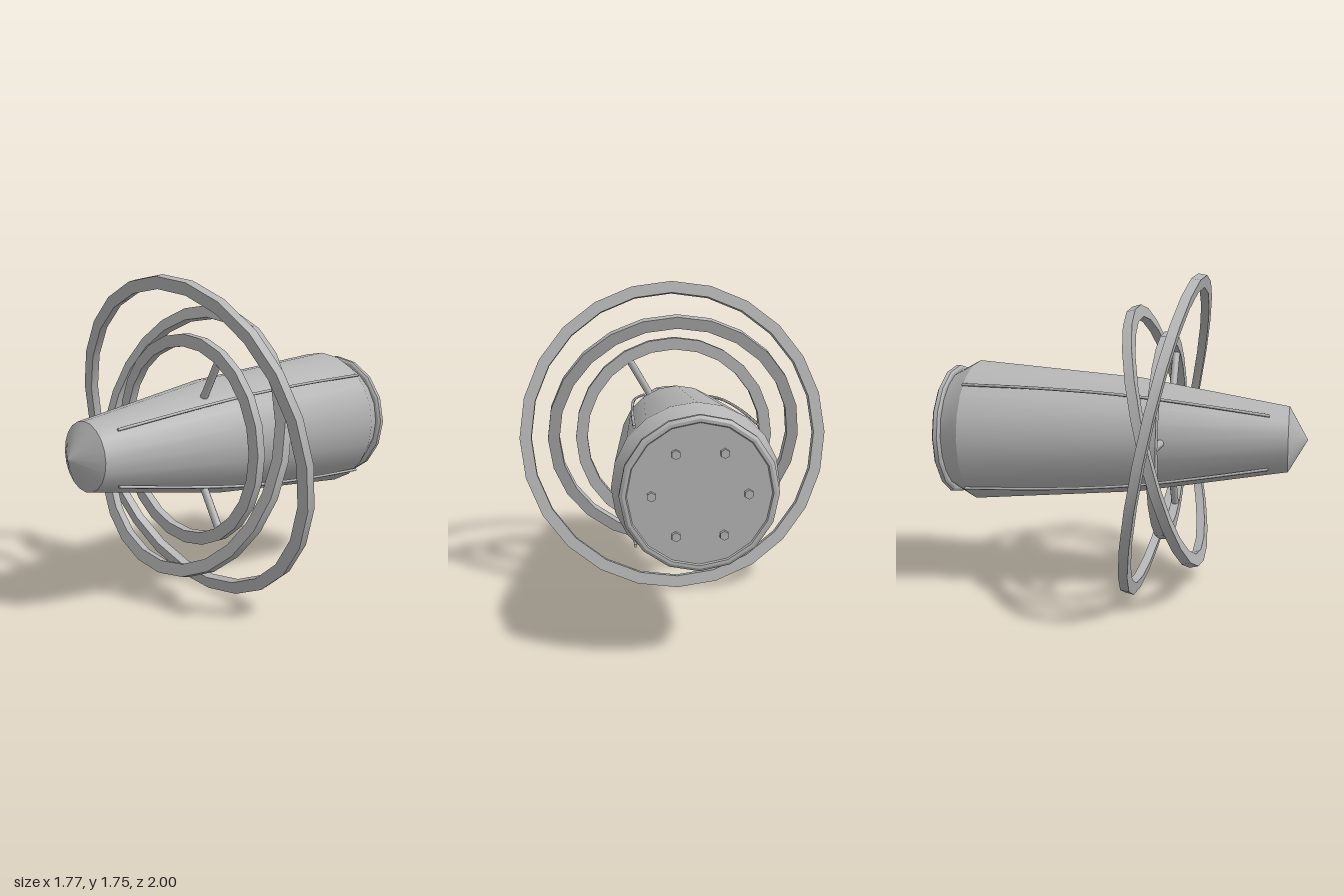
import * as THREE from 'three';
import { toCreasedNormals } from 'three/addons/utils/BufferGeometryUtils.js';

const AXIS_Y = 0.877; // height of the long axis
const RING_Z = 0.25; // where the rings and spokes sit

export function createModel() {
  const model = new THREE.Group();
  model.name = 'ringedCraft';
  const craft = new THREE.Group();
  craft.name = 'craft';
  craft.position.y = AXIS_Y;
  model.add(craft);

  const grey = new THREE.MeshStandardMaterial({ color: 0xb3b3b3 });
  grey.name = 'hull grey';

  const add = (name, geometry) => {
    const mesh = new THREE.Mesh(geometry, grey);
    mesh.name = name;
    craft.add(mesh);
    return mesh;
  };

  // Turned part along z; the profile is [radius, z], running from back to front
  const turned = (profile, sides) => {
    const points = profile.map(([r, z]) => new THREE.Vector2(r, z));
    const geometry = new THREE.LatheGeometry(points, sides).rotateX(Math.PI / 2);
    return toCreasedNormals(geometry, 0.5);
  };

  // Tapered hull with a chamfered tail, and its conical nose
  add('hull', turned([[0, -0.95], [0.333, -0.948], [0.395, -0.83], [0.315, 0.1], [0.177, 0.9]], 20));
  add('noseCone', turned([[0.177, 0.9], [0, 1]], 20));

  // Tail plate with a stepped rim
  add('tailPlate', turned([
    [0, -0.978], [0.33, -0.978], [0.335, -0.986], [0.35, -0.986], [0.365, -0.976],
    [0.365, -0.954], [0.352, -0.945], [0, -0.945],
  ], 16));

  // Six bolts on the tail plate
  for (let i = 0; i < 6; i++) {
    const a = (i * Math.PI) / 3;
    const bolt = add('bolt', toCreasedNormals(new THREE.CylinderGeometry(0.022, 0.022, 0.03, 6).rotateX(Math.PI / 2), 0.5));
    bolt.position.set(0.22 * Math.cos(a), 0.22 * Math.sin(a), -0.985);
  }

  // Three nested rings of rectangular section, each with its own tilt
  const rings = [
    ['innerRing', 0.567, 0],
    ['middleRing', 0.727, -0.25],
    ['outerRing', 0.887, 0.2],
  ];
  for (const [name, outer, tilt] of rings) {
    const inner = outer - 0.066, h = 0.024;
    const ring = add(name, turned([[inner, -h], [outer, -h], [outer, h], [inner, h], [inner, -h]], 24));
    ring.position.z = RING_Z;
    ring.rotation.x = tilt;
  }

  // Three spokes joining the hull to the inner ring
  for (let i = 0; i < 3; i++) {
    const a = Math.PI / 3 + (i * 2 * Math.PI) / 3;
    const spoke = add('spoke', new THREE.CylinderGeometry(0.021, 0.021, 0.25, 10));
    spoke.position.set(0.39 * Math.cos(a), 0.39 * Math.sin(a), RING_Z);
    spoke.rotation.z = a - Math.PI / 2;
  }

  // Four thin bowed rods along the hull, with closed ends
  for (let i = 0; i < 4; i++) {
    const a = Math.PI / 4 + (i * Math.PI) / 2;
    const at = (r, z) => new THREE.Vector3(r * Math.cos(a), r * Math.sin(a), z);
    const path = new THREE.CatmullRomCurve3([
      at(0.2, 0.8), at(0.283, 0.4), at(0.345, 0.04), at(0.385, -0.4), at(0.403, -0.83),
    ]);
    add('rod', new THREE.TubeGeometry(path, 16, 0.008, 6));
    for (const t of [0, 1]) {
      const cap = add('rodEnd', new THREE.CircleGeometry(0.008, 6));
      const end = path.getPoint(t);
      cap.position.copy(end);
      if (t === 1) cap.rotation.y = Math.PI;
    }
  }

  return model;
}
